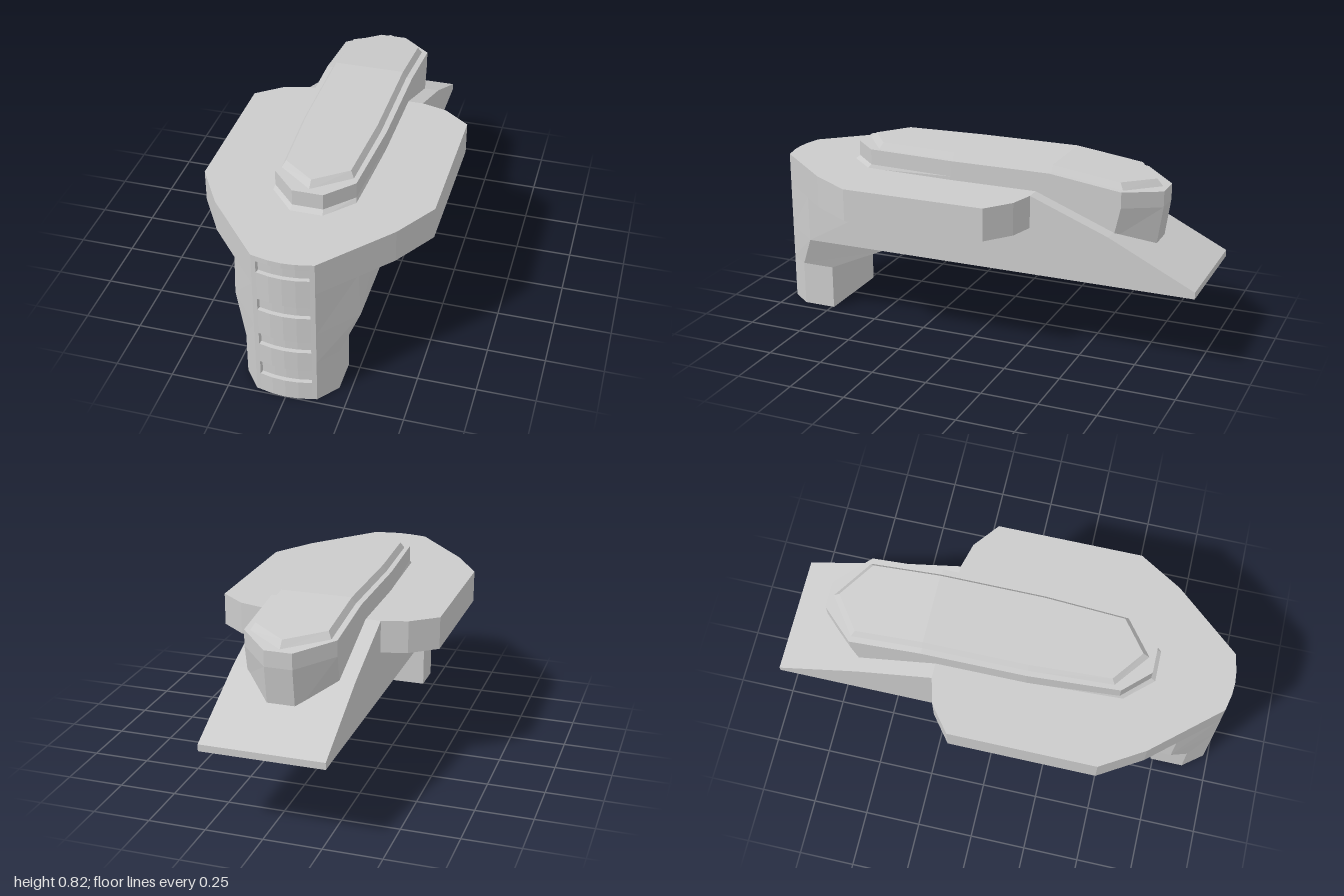
import * as THREE from 'three';

const mat = new THREE.MeshStandardMaterial({ color: 0xcccccc, flatShading: true, side: THREE.DoubleSide });

// Closes a right-hand outline (front to back) with its mirror image
const mirror = (half) => [...half, ...half.map(([x, ...rest]) => [-x, ...rest]).reverse()];

// Extrudes a mirrored plan outline of [x, z] points from y0 to y1
function slab(half, y0, y1) {
  const left = half.filter(([x]) => x > 0).map(([x, z]) => [-x, z]).reverse();
  const shape = new THREE.Shape([...half, ...left].map(([x, z]) => new THREE.Vector2(x, -z)));
  return new THREE.ExtrudeGeometry(shape, { depth: y1 - y0, bevelEnabled: false })
    .rotateX(-Math.PI / 2).translate(0, y0, 0);
}

// Skins half rings of [x, y, z] points from bottom to top; the cap joins mirrored pairs
function loft(halves, cap) {
  const rings = halves.map(mirror), n = rings[0].length, pos = [];
  const quad = (a, b, c, d) => pos.push(...a, ...b, ...c, ...a, ...c, ...d);
  for (let r = 0; r < rings.length - 1; r++)
    for (let i = 0; i < n; i++) {
      const j = (i + 1) % n;
      quad(rings[r][i], rings[r][j], rings[r + 1][j], rings[r + 1][i]);
    }
  const top = rings[rings.length - 1];
  if (cap) for (let i = 0; i < n / 2 - 1; i++) quad(top[i], top[i + 1], top[n - 2 - i], top[n - 1 - i]);
  const g = new THREE.BufferGeometry();
  g.setAttribute('position', new THREE.Float32BufferAttribute(pos, 3));
  g.computeVertexNormals();
  return g;
}

export function createModel() {
  const model = new THREE.Group();
  const add = (name, geometry) => {
    const mesh = new THREE.Mesh(geometry, mat);
    mesh.name = name;
    model.add(mesh);
  };

  // Curved front face, set back between the posts to form the slot floor
  const groove = [[0, 0.98], [0.05, 0.977], [0.106, 0.966], [0.11, 0.984], [0.13, 0.98]];

  // Wide deck plate
  add('deck', slab([...groove, [0.38, 0.69], [0.495, 0.5], [0.495, -0.15],
    [0.38, -0.24], [0.267, -0.27]], 0.56, 0.704));

  // Wedge-shaped hull under the deck, running out to a thin tail
  const profile = [[0.44, 0.35], [0.44, 0.695], [-0.2, 0.695], [-0.27, 0.704],
    [-0.62, 0.567], [-1, 0.38], [-1, 0.35]];
  const side = new THREE.Shape(profile.map(([z, y]) => new THREE.Vector2(-z, y)));
  add('hull', new THREE.ExtrudeGeometry(side, { depth: 0.534, bevelEnabled: false })
    .translate(0, 0, -0.267).rotateY(Math.PI / 2));

  // Front leg and the neck that widens into the hull
  add('leg', slab([...groove, [0.2, 0.89], [0.2, 0.74]], 0, 0.2));
  const neckRing = (y, sx, sz, bx, bz) => [...groove, [sx, sz], [bx, bz]].map(([x, z]) => [x, y, z]);
  add('neck', loft([
    neckRing(0.2, 0.2, 0.89, 0.2, 0.74),
    neckRing(0.35, 0.268, 0.81, 0.267, 0.44),
    neckRing(0.56, 0.26, 0.815, 0.267, 0.44),
  ], false));

  // Bars between the four front slots
  const bar = [[0, 1], [0.055, 0.996], [0.11, 0.984], [0.106, 0.966], [0.05, 0.977], [0, 0.976]];
  const barHeights = [[0, 0.09], [0.157, 0.253], [0.31, 0.433], [0.49, 0.624], [0.679, 0.704]];
  barHeights.forEach(([y0, y1]) => add('frontBar', slab(bar, y0, y1)));

  // Long pod on the deck; its top dips toward the back
  const dip = (z) => Math.max(0, -0.33 - z) * 0.135;
  const podPlan = [[0.065, 0.645], [0.173, 0.53], [0.198, 0.13], [0.2, -0.33], [0.2, -0.65], [0.06, -0.795]];
  const podFoot = [[0.07, 0.7, 0.67], [0.178, 0.7, 0.55], [0.198, 0.7, 0.13], [0.2, 0.64, -0.33],
    [0.2, 0.54, -0.62], [0.06, 0.46, -0.767]];
  const podLow = podPlan.map(([x, z]) => [x, 0.72 - dip(z), z]);
  const podTop = podPlan.map(([x, z]) => [x, 0.79 - dip(z), z]);
  add('pod', loft([podFoot, podLow, podTop], true));

  // Raised bevelled lid
  const lidBase = [[0, 0.62], [0.155, 0.5], [0.175, 0.13], [0.175, -0.33], [0.175, -0.65], [0, -0.775]];
  const lidTop = [[0, 0.59], [0.138, 0.485], [0.157, 0.13], [0.157, -0.33], [0.157, -0.632], [0, -0.745]];
  add('lid', loft([
    lidBase.map(([x, z]) => [x, 0.788 - dip(z), z]),
    lidTop.map(([x, z]) => [x, 0.817 - dip(z), z]),
  ], true));

  return model;
}
